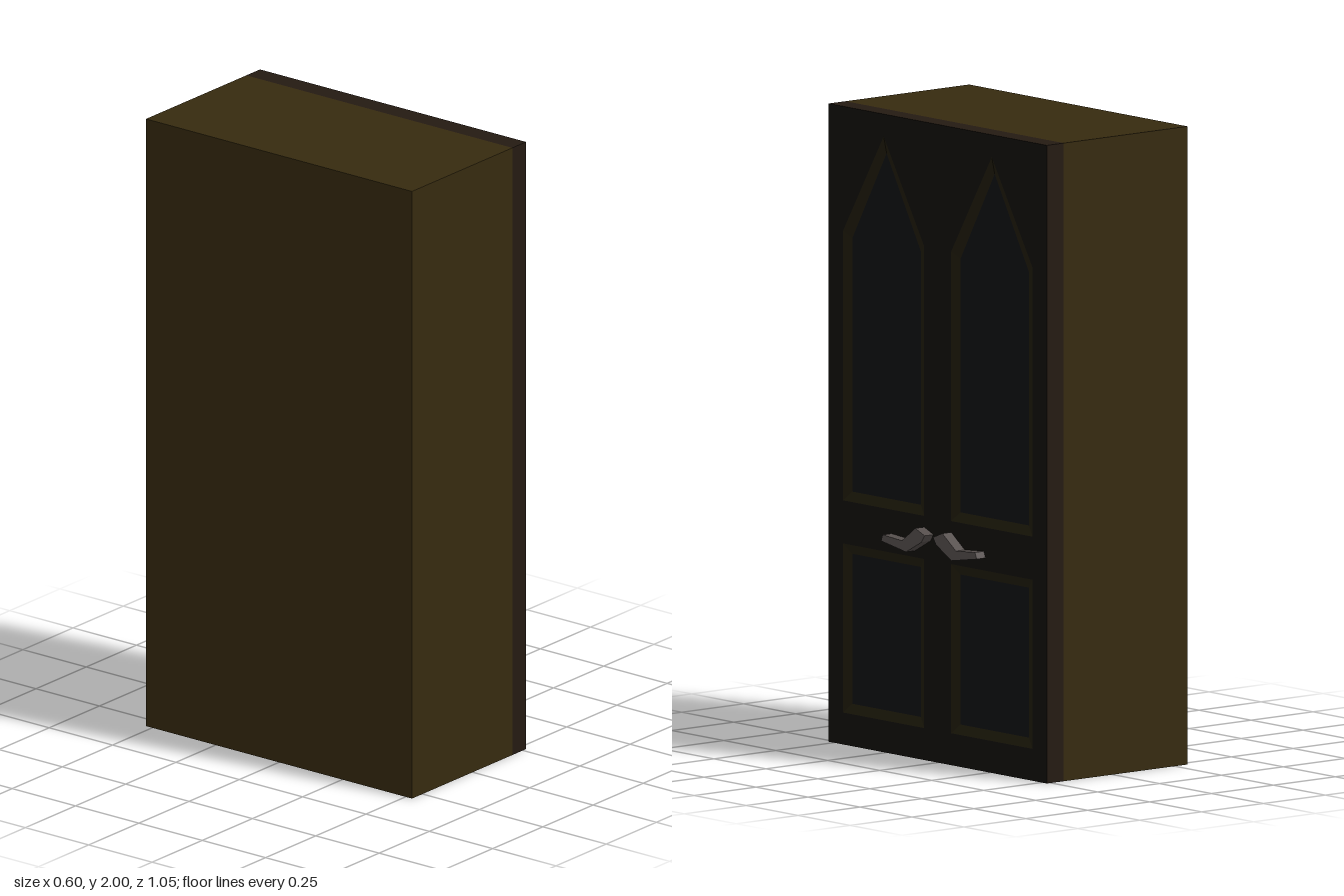
import * as THREE from 'three';

const mat = (color) => new THREE.MeshStandardMaterial({ color, flatShading: true, side: THREE.DoubleSide });
const brown = mat(0x362a0f), edge = mat(0x241a12), frame = mat(0x12100b);
const trim = mat(0x1f1b0b), panel = mat(0x101113), metal = mat(0x554e4c);

const BACK = -0.302, JOINT = 0.198, FRONT = 0.266, HALF = 0.525, HEIGHT = 2;
const RECESS = 0.012, BLOCK_BACK = -0.1, TRIM_WIDTH = 0.03;

function add(parent, name, geometry, material) {
  const mesh = new THREE.Mesh(geometry, material);
  mesh.name = name;
  parent.add(mesh);
}

// Outlines are [z, y] points; shapes are drawn in (-z, y) and turned to face +x
const toShape = (pts) => new THREE.Shape(pts.map(([z, y]) => new THREE.Vector2(-z, y)));
const faceRight = (geometry, x) => geometry.rotateY(Math.PI / 2).translate(x, 0, 0);
const slab = (pts, x0, x1) =>
  faceRight(new THREE.ExtrudeGeometry(toShape(pts), { depth: x1 - x0, bevelEnabled: false }), x0);

// Open-bottomed box section between x0 and x1: two sides and a top
function addShell(parent, name, x0, x1, material) {
  const w = x1 - x0, cx = (x0 + x1) / 2;
  for (const s of [1, -1]) {
    const side = new THREE.PlaneGeometry(w, HEIGHT);
    if (s < 0) side.rotateY(Math.PI);
    add(parent, name + 'Side', side.translate(cx, HEIGHT / 2, s * HALF), material);
  }
  const top = new THREE.PlaneGeometry(w, HALF * 2).rotateX(-Math.PI / 2);
  add(parent, name + 'Top', top.translate(cx, HEIGHT, 0), material);
}

// Sloping strip from the opening in the door down to the recessed panel
function bevelGeometry(outer, inner, xOut, xIn) {
  const pos = [];
  outer.forEach((a, i) => {
    const j = (i + 1) % outer.length;
    const A = [xOut, a[1], a[0]], B = [xOut, outer[j][1], outer[j][0]];
    const C = [xIn, inner[j][1], inner[j][0]], D = [xIn, inner[i][1], inner[i][0]];
    pos.push(...A, ...B, ...C, ...A, ...C, ...D);
  });
  const g = new THREE.BufferGeometry();
  g.setAttribute('position', new THREE.Float32BufferAttribute(pos, 3));
  g.computeVertexNormals();
  return g;
}

// Panel outlines inset by d, counter-clockwise as seen from +x
const lowerOutline = (d) => [[0.455 - d, 0.1 + d], [0.065 + d, 0.1 + d], [0.065 + d, 0.63 - d], [0.455 - d, 0.63 - d]];
const upperOutline = (d) => [
  [0.455 - d, 0.765 + d], [0.065 + d, 0.765 + d], [0.065 + d, 1.61 - d * 0.7],
  [0.26, 1.93 - d * 1.8], [0.455 - d, 1.61 - d * 0.7],
];
const mirrored = (pts) => pts.map(([z, y]) => [-z, y]).reverse();

export function createModel() {
  const model = new THREE.Group();
  model.name = 'wardrobe';

  // Cabinet, open underneath
  const cabinet = new THREE.Group();
  cabinet.name = 'cabinet';
  model.add(cabinet);
  addShell(cabinet, 'cabinet', BACK, JOINT, brown);
  const back = new THREE.PlaneGeometry(HALF * 2, HEIGHT).rotateY(-Math.PI / 2);
  add(cabinet, 'cabinetBack', back.translate(BACK, HEIGHT / 2, 0), brown);

  // Door front with four openings
  const doors = new THREE.Group();
  doors.name = 'doors';
  model.add(doors);
  addShell(doors, 'door', JOINT, FRONT, edge);
  const face = toShape([[HALF, 0], [-HALF, 0], [-HALF, HEIGHT], [HALF, HEIGHT]]);

  // Shallow recessed panels on deep blocks, pointed above and square below, with sloping trim
  for (const flip of [(p) => p, mirrored]) {
    for (const [name, outline] of [['lower', lowerOutline], ['upper', upperOutline]]) {
      const outer = flip(outline(0)), inner = flip(outline(TRIM_WIDTH));
      face.holes.push(toShape(outer));
      add(doors, name + 'Trim', bevelGeometry(outer, inner, FRONT, FRONT - RECESS), trim);
      add(doors, name + 'Panel', slab(outer, BLOCK_BACK, FRONT - RECESS), panel);
    }
  }
  add(doors, 'doorFrame', faceRight(new THREE.ShapeGeometry(face), FRONT), frame);

  // Bent lever handles
  const lever = [[0.23, 0.67], [0.11, 0.65], [0.035, 0.69], [0.02, 0.712], [0.065, 0.73], [0.13, 0.683], [0.222, 0.69]];
  add(model, 'leftHandle', slab(lever, FRONT - 0.002, 0.302), metal);
  add(model, 'rightHandle', slab(mirrored(lever), FRONT - 0.002, 0.302), metal);
  return model;
}
